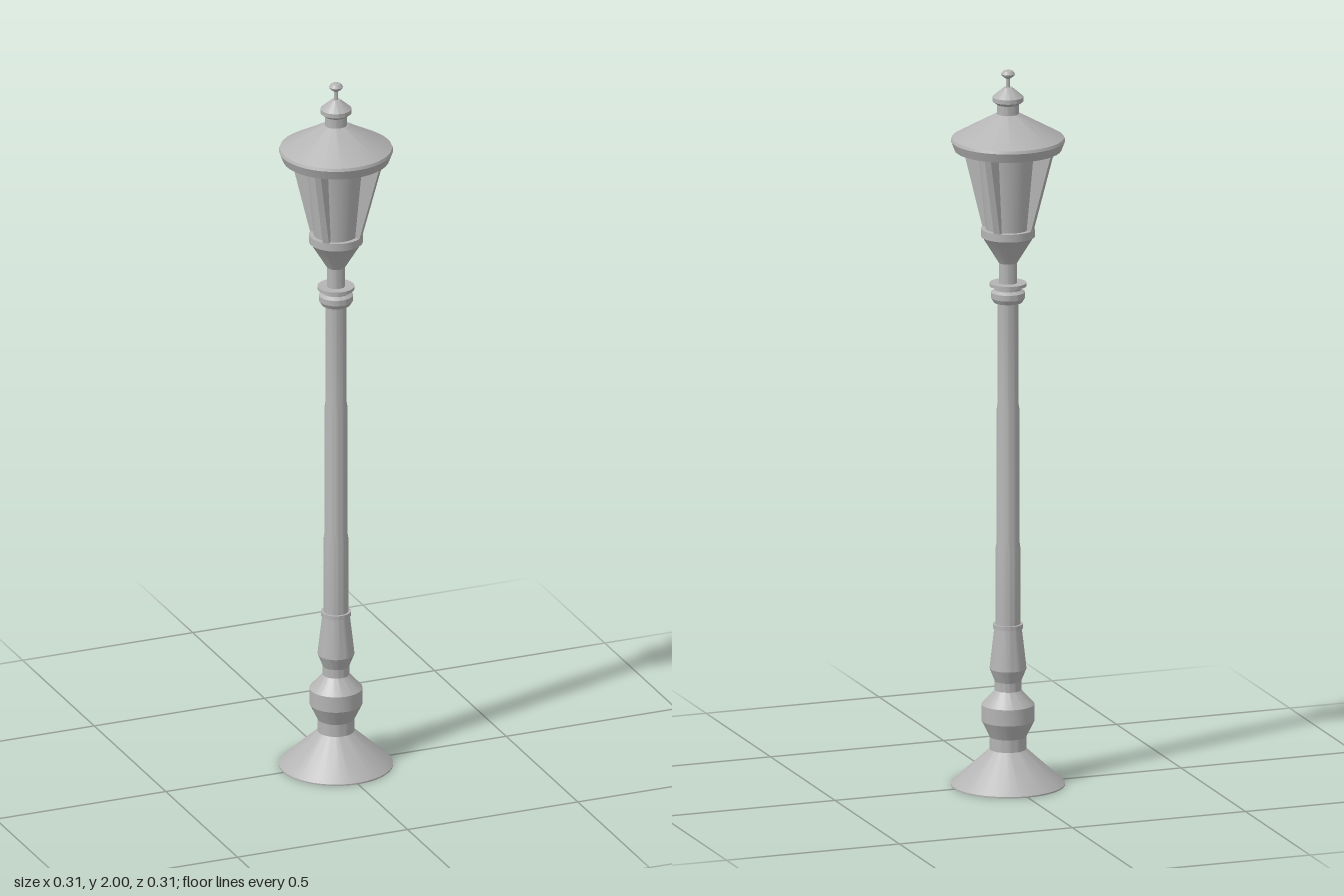
import * as THREE from 'three';
import { toCreasedNormals } from 'three/addons/utils/BufferGeometryUtils.js';

export function createModel() {
  const group = new THREE.Group();
  const metal = new THREE.MeshStandardMaterial({ color: 0xb4b4b4 });
  metal.name = 'grey metal';

  const add = (name, geometry) => {
    const mesh = new THREE.Mesh(geometry, metal);
    mesh.name = name;
    group.add(mesh);
    return mesh;
  };
  // Turned part from [radius, height] pairs, listed from bottom to top
  const turned = (name, points, sides = 40) => {
    const profile = points.map(([r, y]) => new THREE.Vector2(r, y));
    return add(name, toCreasedNormals(new THREE.LatheGeometry(profile, sides), 0.35));
  };

  // Flared foot and bulging pedestal
  turned('foot', [[0, 0], [0.155, 0], [0.155, 0.004], [0.05, 0.1], [0, 0.1]]);
  turned('pedestal', [
    [0.05, 0.1], [0.05, 0.135], [0.072, 0.18], [0.072, 0.225], [0.04, 0.26],
    [0.036, 0.265], [0.036, 0.29], [0.05, 0.325], [0.048, 0.345], [0.037, 0.44], [0, 0.44],
  ]);
  turned('pedestalRing', [[0, 0.438], [0.041, 0.438], [0.041, 0.45], [0, 0.45]]);

  // Slightly tapering post
  turned('post', [[0.034, 0.45], [0.034, 0.66], [0.031, 0.68], [0.031, 1.05], [0.028, 1.07], [0.028, 1.36]]);

  // Collar rings and neck
  turned('collar', [
    [0, 1.35], [0.039, 1.35], [0.046, 1.362], [0.046, 1.378], [0.036, 1.385],
    [0.036, 1.395], [0.05, 1.395], [0.05, 1.404], [0, 1.404],
  ]);
  turned('neck', [[0.025, 1.4], [0.025, 1.465]]);

  // Cup that carries the lantern
  turned('lanternCup', [[0, 1.46], [0.025, 1.46], [0.068, 1.53], [0.073, 1.534], [0.073, 1.556], [0, 1.556]]);

  // Lantern body with four corner fins
  turned('lanternBody', [[0.06, 1.55], [0.083, 1.79]], 32);
  const fin = new THREE.Shape([
    new THREE.Vector2(0.05, 1.55), new THREE.Vector2(0.071, 1.55),
    new THREE.Vector2(0.136, 1.79), new THREE.Vector2(0.07, 1.79),
  ]);
  const finGeometry = new THREE.ExtrudeGeometry(fin, { depth: 0.018, bevelEnabled: false });
  finGeometry.translate(0, 0, -0.009);
  for (let i = 0; i < 4; i++) {
    add('lanternFin', finGeometry).rotation.y = Math.PI / 4 + i * Math.PI / 2;
  }

  // Conical roof with a short sloping eave
  turned('roof', [
    [0, 1.787], [0.136, 1.787], [0.138, 1.776], [0.145, 1.776], [0.155, 1.802],
    [0.152, 1.81], [0.032, 1.877], [0, 1.877],
  ]);

  // Vent cap and finial
  turned('ventCap', [
    [0.03, 1.87], [0.03, 1.903], [0.042, 1.912], [0.042, 1.924],
    [0.034, 1.931], [0.012, 1.95], [0, 1.952],
  ]);
  turned('finial', [
    [0.006, 1.945], [0.006, 1.975], [0.016, 1.982], [0.019, 1.988], [0.013, 1.996], [0, 2],
  ], 24);

  return group;
}
